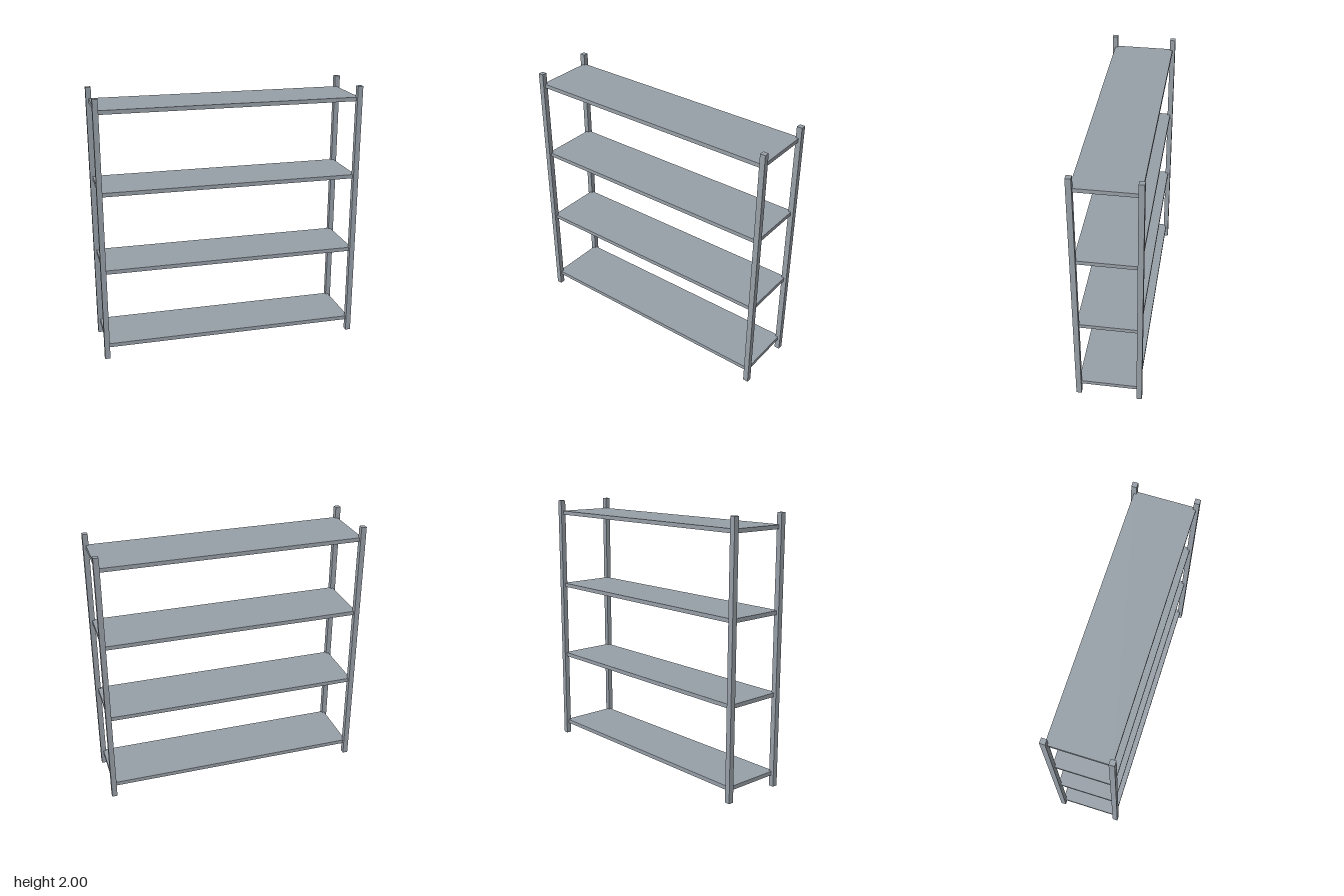
import * as THREE from 'three';

const HEIGHT = 2, POST = 0.04, SHELF = 0.03;
const POST_X = 0.98, POST_Z = 0.23;

export function createModel() {
  const model = new THREE.Group();
  model.name = 'shelvingUnit';
  const steel = new THREE.MeshStandardMaterial({ color: 0x98a0a8 });
  steel.name = 'grey steel';

  const addBox = (name, size, position) => {
    const mesh = new THREE.Mesh(new THREE.BoxGeometry(...size), steel);
    mesh.name = name;
    mesh.position.set(...position);
    model.add(mesh);
  };

  // Four square corner posts
  for (const [side, x] of [['Left', POST_X], ['Right', -POST_X]]) {
    for (const [end, z] of [['front', POST_Z], ['back', -POST_Z]]) {
      addBox(`${end}${side}Post`, [POST, HEIGHT, POST], [x, HEIGHT / 2, z]);
    }
  }

  // Evenly spaced shelves, reaching to the post centres
  for (let i = 0; i < 4; i++) {
    addBox(`shelf${i + 1}`, [POST_X * 2, SHELF, POST_Z * 2], [0, 0.1 + i * 0.6, 0]);
  }
  return model;
}
